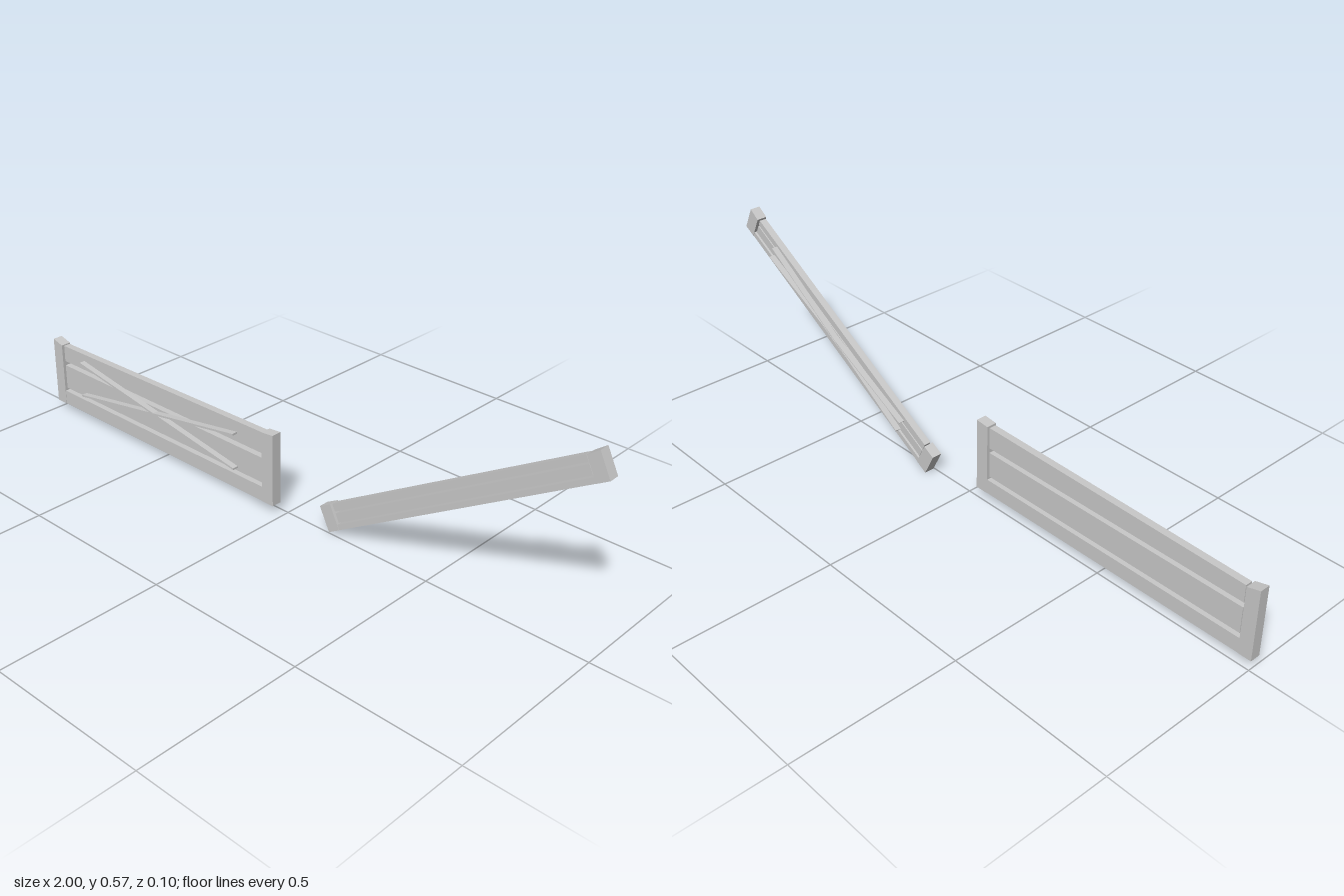
import * as THREE from 'three';

const wood = new THREE.MeshStandardMaterial({ color: 0xc8c8c8 });
wood.name = 'plain grey';

// A board: outline in the plane of the fence (counter-clockwise), extruded from z0 to z1
function board(name, outline, z0, z1, matrix) {
  const shape = new THREE.Shape(outline.map(([x, y]) => new THREE.Vector2(x, y)));
  const geometry = new THREE.ExtrudeGeometry(shape, { depth: z1 - z0, bevelEnabled: false });
  geometry.translate(0, 0, z0);
  geometry.applyMatrix4(matrix);
  const mesh = new THREE.Mesh(geometry, wood);
  mesh.name = name;
  return mesh;
}

// Four-cornered outline with its own top height at each end
const quad = (x0, x1, bottom, topLeft, topRight) =>
  [[x0, bottom], [x1, bottom], [x1, topRight], [x0, topLeft]];

// One fence panel, centred in x, standing on y = 0, back face at z = 0
function fencePanel(name, matrix) {
  const group = new THREE.Group();
  group.name = name;
  const add = (...args) => group.add(board(...args, matrix));

  // End posts with slanted tops
  add('leftPost', quad(-0.4875, -0.447, 0, 0.217, 0.206), 0, 0.032);
  add('rightPost', quad(0.445, 0.4875, 0, 0.222, 0.226), 0, 0.032);

  // Rails between the posts, separated by narrow gaps
  add('bottomRail', quad(-0.447, 0.445, 0, 0.046, 0.046), 0.001, 0.031);
  add('middleRail', quad(-0.442, 0.441, 0.057, 0.137, 0.137), 0.005, 0.027);
  add('topRail', quad(-0.442, 0.441, 0.152, 0.205, 0.219), 0.005, 0.027);

  // Crossed braces on the face
  const lo = 0.066, hi = 0.178, t = 0.006, x = 0.3425;
  add('risingBrace', [[-x, lo], [x, hi], [x, hi + t], [-x, lo + t]], 0.027, 0.046);
  add('fallingBrace', [[-x, hi], [x, lo], [x, lo + t], [-x, hi + t]], 0.027, 0.0455);
  return group;
}

export function createModel() {
  const model = new THREE.Group();
  model.name = 'fencePanels';

  // Upright panel
  const upright = new THREE.Matrix4().makeTranslation(-0.5125, 0.026, 0.0045);

  // Tilted panel: turned to face backwards, squeezed in height and slightly skewed
  const tilted = new THREE.Matrix4().makeBasis(
    new THREE.Vector3(-0.862, -0.513, 0),
    new THREE.Vector3(-0.156, 0.311, 0),
    new THREE.Vector3(0, 0, -1),
  ).setPosition(0.575, 0.25, -0.0027);

  model.add(fencePanel('uprightPanel', upright), fencePanel('tiltedPanel', tilted));
  return model;
}
